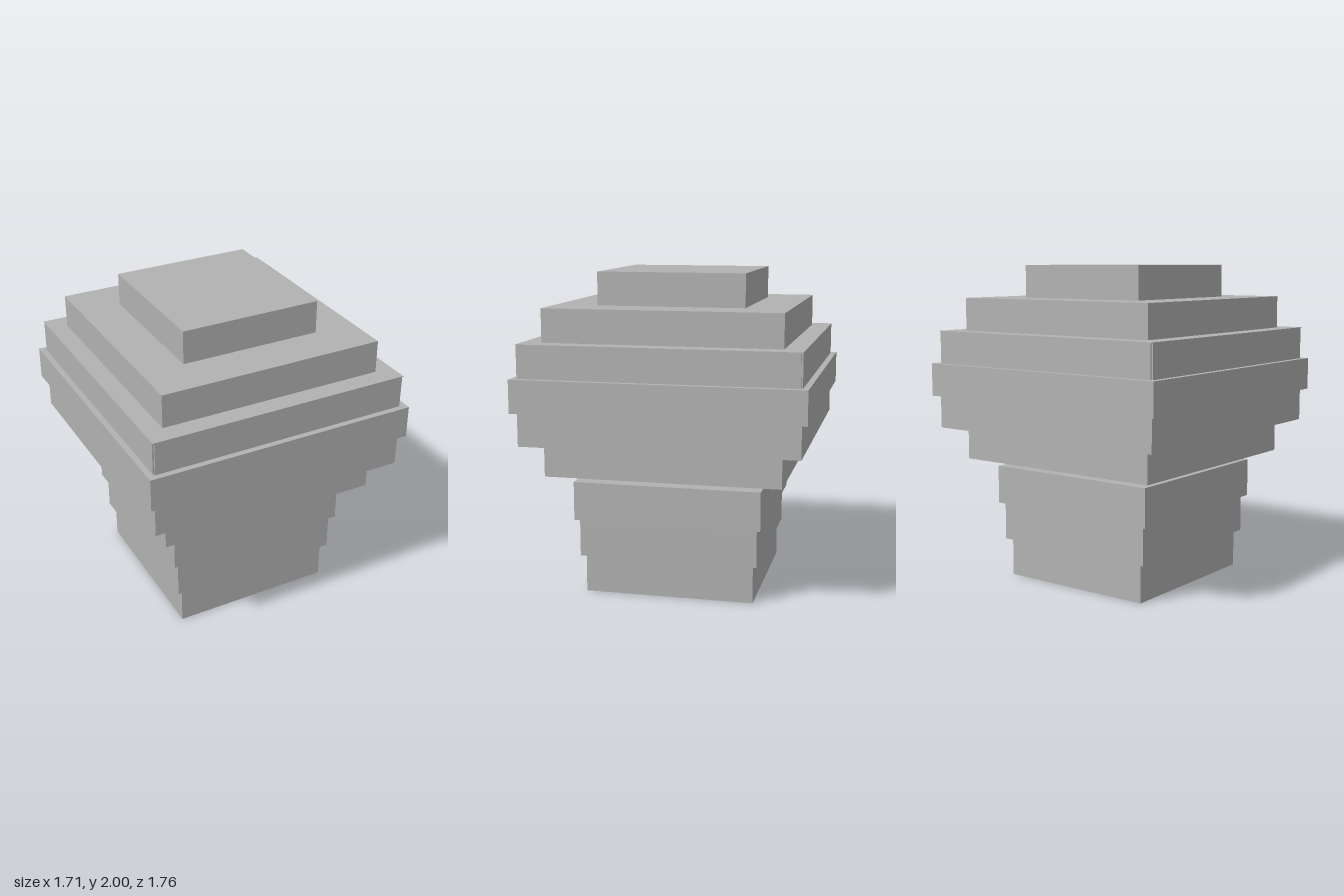
import * as THREE from 'three';

export function createModel() {
  const group = new THREE.Group();
  const grey = new THREE.MeshStandardMaterial({ color: 0xb2b2b2 });
  grey.name = 'plain grey';

  // Box slab from half width, half depth, bottom and top heights
  const slab = (name, hx, hz, y0, y1) => {
    const mesh = new THREE.Mesh(new THREE.BoxGeometry(2 * hx, y1 - y0, 2 * hz), grey);
    mesh.name = name;
    mesh.position.y = (y0 + y1) / 2;
    group.add(mesh);
  };

  // Flared base of three steps
  const baseHeights = [0, 0.24, 0.478, 0.72];
  [[0.513, 0.529], [0.549, 0.556], [0.582, 0.582]].forEach(([hx, hz], i) =>
    slab(`baseStep${i + 1}`, hx, hz, baseHeights[i], baseHeights[i + 1]));

  // Stepped round crown, symmetric about its widest tier; the lowest sinks into the base
  const tiers = [[0.855, 0.882], [0.818, 0.846], [0.702, 0.724], [0.439, 0.455]];
  const bottom = 0.572, step = (2 - bottom) / 7, notch = 0.01;
  for (let i = 0; i < 7; i++) {
    const [hx, hz] = tiers[Math.abs(i - 3)];
    const y0 = bottom + i * step, y1 = y0 + step;
    if (i === 4) {
      // Tier with narrow open corners under a thin lid
      slab('notchedTierWide', hx, hz - notch, y0, y1 - 0.004);
      slab('notchedTierDeep', hx - notch, hz, y0, y1 - 0.004);
      slab('notchedTierLid', hx, hz, y1 - 0.004, y1);
    } else {
      slab(`crownTier${i + 1}`, hx, hz, y0, y1);
    }
  }
  return group;
}
